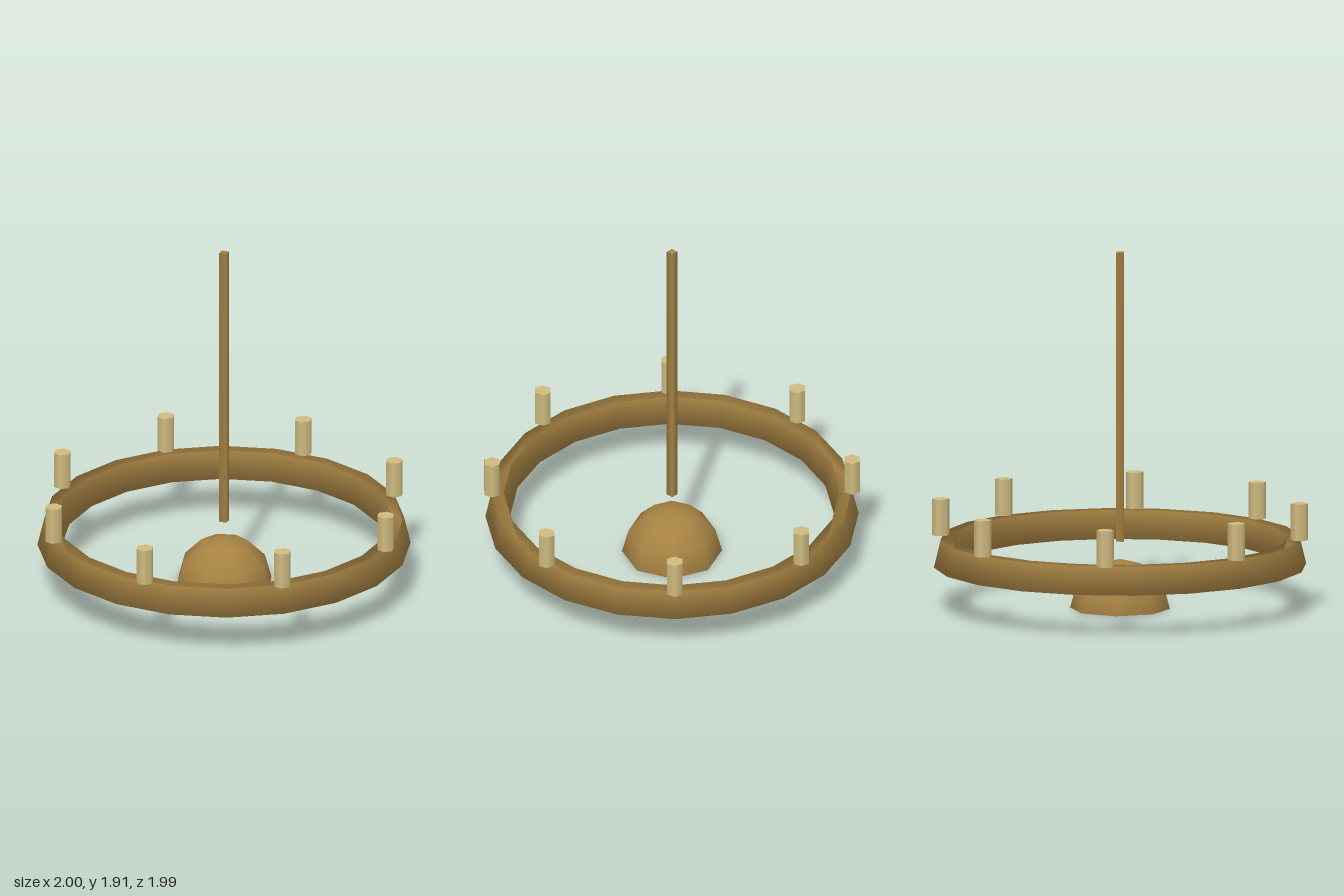
import * as THREE from 'three';

export function createModel() {
  const model = new THREE.Group();
  model.name = 'candleRingChandelier';

  const brass = new THREE.MeshStandardMaterial({ color: 0xa68243, side: THREE.DoubleSide });
  brass.name = 'aged brass';
  const wax = new THREE.MeshStandardMaterial({ color: 0xcfbb80 });
  wax.name = 'cream wax';

  const add = (name, geometry, material, x = 0, y = 0, z = 0) => {
    const mesh = new THREE.Mesh(geometry, material);
    mesh.name = name;
    mesh.position.set(x, y, z);
    model.add(mesh);
    return mesh;
  };

  // Ring: a channel, open at the top, with walls leaning together
  const profile = [[0.89, 0.38], [0.857, 0.23], [0.988, 0.23], [0.952, 0.38]]
    .map(([r, y]) => new THREE.Vector2(r, y));
  add('ring', new THREE.LatheGeometry(profile, 20), brass);

  // Hollow dome below the ring
  add('dome', new THREE.SphereGeometry(0.265, 8, 3, 0, Math.PI * 2, 0, Math.PI / 2), brass);

  // Hanging rod
  add('rod', new THREE.CylinderGeometry(0.028, 0.028, 1.55, 4), brass, 0, 1.135, 0);

  // Eight candles around the rim
  const candleGeometry = new THREE.CylinderGeometry(0.047, 0.047, 0.195, 6);
  candleGeometry.rotateY(Math.PI / 6);
  for (let i = 0; i < 8; i++) {
    const a = (i / 8) * Math.PI * 2;
    add('candle' + (i + 1), candleGeometry, wax, Math.sin(a) * 0.953, 0.478, Math.cos(a) * 0.953);
  }

  return model;
}
